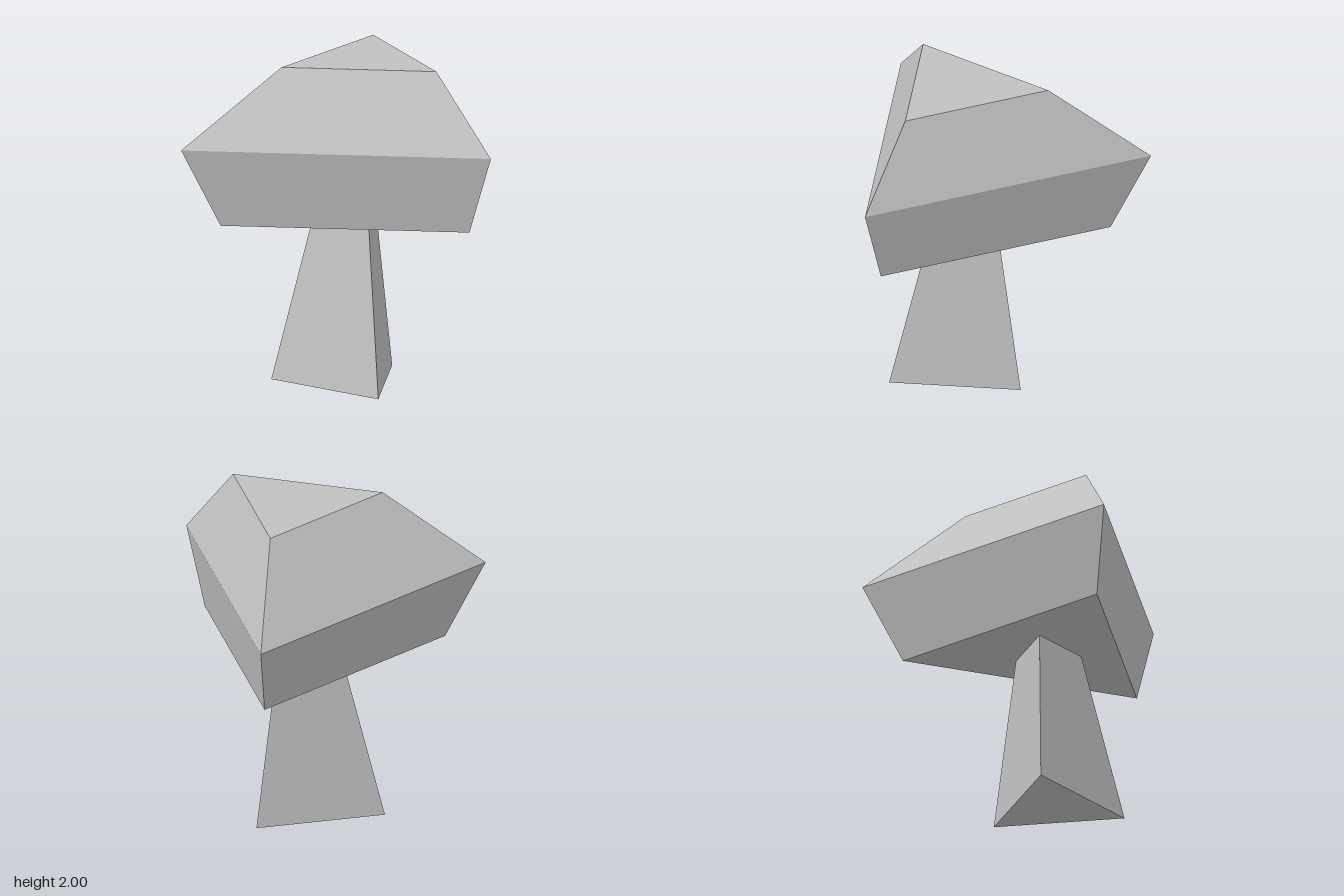
import * as THREE from 'three';

const grey = new THREE.MeshStandardMaterial({ color: 0xc0c0c0 });
grey.name = 'grey';

// Lofts a triangle [x, z] (counter-clockwise from above) through levels [y, scale],
// scaling about a pivot [x, z]; both ends are closed and every face is flat.
function loftTriangle(name, triangle, pivot, levels) {
  const rings = levels.map(([y, s]) => triangle.map(([x, z]) => [
    pivot[0] + (x - pivot[0]) * s, y, pivot[1] + (z - pivot[1]) * s,
  ]));
  const positions = [];
  const face = (...corners) => corners.forEach((c) => positions.push(...c));

  for (let i = 0; i < rings.length - 1; i++) {
    const low = rings[i], high = rings[i + 1];
    for (let j = 0; j < 3; j++) {
      const k = (j + 1) % 3;
      face(low[j], low[k], high[k]);
      face(low[j], high[k], high[j]);
    }
  }
  const [a, b, c] = rings[0];
  face(c, b, a);
  face(...rings[rings.length - 1]);

  const geometry = new THREE.BufferGeometry();
  geometry.setAttribute('position', new THREE.Float32BufferAttribute(positions, 3));
  geometry.computeVertexNormals();
  const mesh = new THREE.Mesh(geometry, grey);
  mesh.name = name;
  return mesh;
}

export function createModel() {
  const model = new THREE.Group();
  model.name = 'mushroom';

  // Three-sided cap, widest in the middle, pointing forward
  model.add(loftTriangle('cap',
    [[0, 0.806], [0.931, -0.806], [-0.931, -0.806]], [0, 0],
    [[1.043, 0.803], [1.523, 1], [2, 0.5]]));

  // Three-sided tapering stem, pointing to the model's left
  model.add(loftTriangle('stem',
    [[-0.285, 0.181], [0.4, -0.215], [-0.285, -0.61]], [0.0575, -0.215],
    [[0, 1], [1.043, 0.5]]));

  return model;
}
